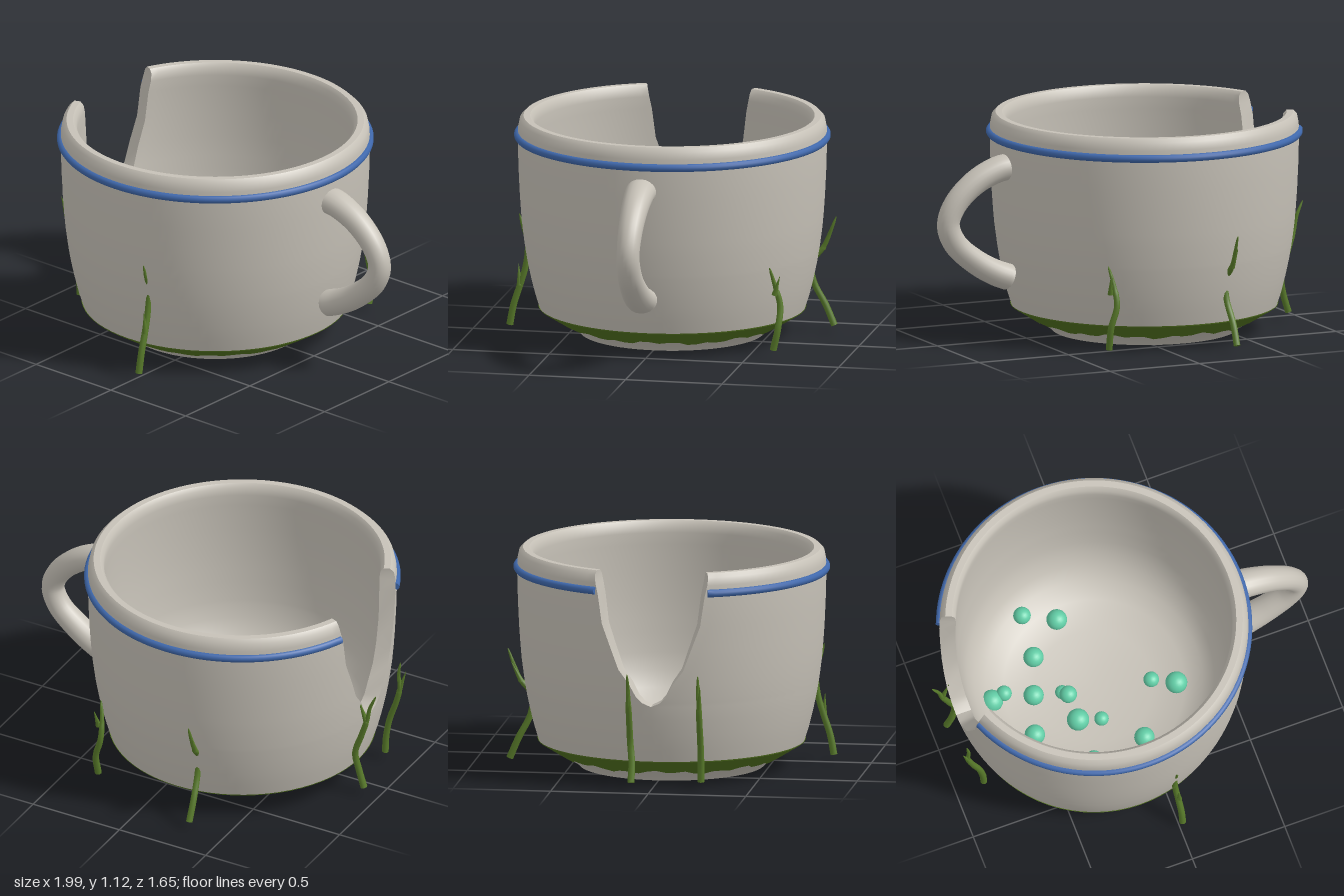
import * as THREE from 'three';
import { mergeGeometries, toCreasedNormals } from 'three/addons/utils/BufferGeometryUtils.js';

const V = (x, y, z) => new THREE.Vector3(x, y, z);
const CX = -0.16; // axis of the cup
const polar = (r, y, a) => V(CX + r * Math.sin(a), y, r * Math.cos(a));

// Grid surface: fn(row, col) gives a point; the front faces (col direction x row direction)
function grid(rows, cols, fn) {
  const pos = [], idx = [];
  for (let j = 0; j <= rows; j++)
    for (let i = 0; i <= cols; i++) pos.push(...fn(j, i).toArray());
  for (let j = 0; j < rows; j++)
    for (let i = 0; i < cols; i++) {
      const a = j * (cols + 1) + i, c = a + cols + 1;
      idx.push(a, a + 1, c + 1, a, c + 1, c);
    }
  const g = new THREE.BufferGeometry();
  g.setAttribute('position', new THREE.Float32BufferAttribute(pos, 3));
  g.setIndex(idx);
  return g;
}

// Capped tube along a smooth path; radius(t) may vary, widen(t) stretches it in z
function tube(points, radius, steps, sides, widen = () => 1) {
  const curve = new THREE.CatmullRomCurve3(points);
  const { normals, binormals } = curve.computeFrenetFrames(steps);
  const g = grid(steps + 2, sides, (j, i) => {
    const k = Math.min(Math.max(j - 1, 0), steps), t = k / steps;
    const r = j === 0 || j === steps + 2 ? 0 : radius(t);
    const a = (i % sides) / sides * Math.PI * 2;
    const p = curve.getPointAt(t)
      .addScaledVector(normals[k], r * Math.cos(a))
      .addScaledVector(binormals[k], r * Math.sin(a));
    p.z *= widen(t);
    return p;
  });
  return toCreasedNormals(g, 0.9);
}

// Wall rows that carry the broken gap: height, outer radius, inner radius, half gap in degrees
const WALL = [
  [0.43, 0.746, 0.665, 0], [0.45, 0.749, 0.668, 3.5], [0.48, 0.753, 0.674, 5.8],
  [0.55, 0.762, 0.682, 8.6], [0.62, 0.768, 0.69, 12.5], [0.72, 0.775, 0.698, 15.2],
  [0.85, 0.781, 0.702, 18.8], [1.0, 0.785, 0.702, 20.4], [1.06, 0.783, 0.7, 21.5],
  [1.1, 0.775, 0.705, 22], [1.12, 0.755, 0.722, 22],
];
const FOOT = [[0, 0], [0, 0.47], [0.018, 0.488], [0.05, 0.54], [0.13, 0.675], [0.2, 0.697], [0.28, 0.717], [0.36, 0.734]];
const FLOOR = [[0.36, 0.645], [0.28, 0.61], [0.21, 0.55], [0.16, 0.46], [0.13, 0.3], [0.12, 0]];

function cupGeometry() {
  const profile = [
    ...FOOT.map(([y, r]) => [y, r, 0]),
    ...WALL.map(([y, ro, , g]) => [y, ro, g]),
    ...[...WALL].reverse().map(([y, , ri, g]) => [y, ri, g]),
    ...FLOOR.map(([y, r]) => [y, r, 0]),
  ];
  const N = 96, rad = Math.PI / 180;
  const shell = grid(profile.length - 1, N, (j, i) => {
    const [y, r, g] = profile[j];
    const t = g * rad + (2 * Math.PI - 2 * g * rad) * i / N;
    return polar(r, y, -Math.PI / 2 + t);
  });
  // broken faces on both sides of the gap
  const edge = s => grid(WALL.length - 1, 1, (j, i) => {
    const [y, ro, ri, g] = WALL[j];
    const outer = s > 0 ? i === 1 : i === 0;
    return polar(outer ? ro : ri, y, -Math.PI / 2 + s * g * rad);
  });
  return toCreasedNormals(mergeGeometries([shell, edge(1), edge(-1)]), 0.6);
}

// Band on the sloping foot with a ragged lower edge
function mossGeometry() {
  const N = 72;
  const coneRadius = y => 0.54 + (y - 0.05) * (0.135 / 0.08);
  const g = grid(2, N, (j, i) => {
    const k = i % N;
    const low = 0.06 + 0.009 * Math.sin(k * 1.9) + 0.007 * Math.sin(k * 0.7 + 1);
    const y = [low, 0.13, 0.136][j];
    const r = [coneRadius(low), 0.675, 0.677][j] + 0.004;
    return polar(r, y - (j === 0 ? 0.003 : 0), k / N * Math.PI * 2);
  });
  return toCreasedNormals(g, 0.6);
}

export function createModel() {
  const model = new THREE.Group();
  model.name = 'brokenCup';
  const material = (name, color) => {
    const m = new THREE.MeshStandardMaterial({ color });
    m.name = name;
    return m;
  };
  const clay = material('warmGrey', 0xc6c1b7);
  const blue = material('blue', 0x3f68ac);
  const moss = material('mossGreen', 0x51701f);
  const stem = material('stemGreen', 0x587a2a);
  const mint = material('mint', 0x62cda6);
  const add = (name, geometry, mat, parent = model) => {
    const m = new THREE.Mesh(geometry, mat);
    m.name = name;
    parent.add(m);
    return m;
  };

  add('cupBody', cupGeometry(), clay);
  add('mossBand', mossGeometry(), moss).material.side = THREE.DoubleSide;

  // Handle, wider where it meets the wall
  add('handle', tube(
    [V(0.58, 0.895, 0), V(0.66, 0.885, 0), V(0.79, 0.825, 0), V(0.9, 0.72, 0), V(0.938, 0.62, 0),
      V(0.9, 0.52, 0), V(0.79, 0.42, 0), V(0.68, 0.355, 0), V(0.605, 0.325, 0)],
    t => 0.058 + 0.01 * Math.abs(2 * t - 1), 48, 20,
    t => 1 + 0.2 * Math.abs(2 * t - 1) ** 1.5), clay);

  // Blue stripe, open at the gap
  const arc = [];
  for (let i = 0; i <= 60; i++) {
    const gap = 0.375;
    arc.push(polar(0.784, 1.02, -Math.PI / 2 + gap + (2 * Math.PI - 2 * gap) * i / 60));
  }
  add('rimStripe', tube(arc, () => 0.02, 120, 10), blue);

  // Vines weaving in and out of the wall
  const vines = [
    [[0.02, 0.035, 0.805], [0.02, 0.14, 0.785], [0.015, 0.25, 0.75], [0.01, 0.34, 0.725],
      [0.01, 0.46, 0.715], [0.01, 0.55, 0.742], [0.01, 0.61, 0.757]],
    [[-0.3, 0.035, -0.81], [-0.3, 0.14, -0.765], [-0.29, 0.26, -0.705], [-0.29, 0.36, -0.695],
      [-0.3, 0.44, -0.755], [-0.3, 0.52, -0.79], [-0.3, 0.6, -0.82]],
    [[0.33, 0.035, -0.625], [0.33, 0.15, -0.65], [0.3, 0.26, -0.655], [0.305, 0.36, -0.63],
      [0.325, 0.46, -0.605]],
    [[-0.92, 0.04, -0.1], [-0.89, 0.14, -0.1], [-0.875, 0.24, -0.11], [-0.91, 0.35, -0.11],
      [-0.945, 0.46, -0.11], [-0.96, 0.53, -0.11], [-0.995, 0.61, -0.11]],
    [[-0.85, 0.04, 0.25], [-0.855, 0.13, 0.25], [-0.875, 0.24, 0.25], [-0.915, 0.36, 0.25],
      [-0.935, 0.45, 0.25], [-0.93, 0.52, 0.245], [-0.94, 0.6, 0.245]],
  ];
  vines.forEach((pts, i) => add('vine' + (i + 1), tube(
    pts.map(p => V(...p)),
    t => t < 0.7 ? 0.018 - 0.004 * t : 0.002 + 0.02 * Math.sqrt(1 - t), 28, 8), stem));

  // Small pointed leaves: foot and tip
  const leaves = [
    [[0.325, 0.32, -0.63], [0.335, 0.42, -0.66]], [[0.02, 0.24, 0.755], [0.015, 0.35, 0.76]],
    [[-0.94, 0.44, -0.11], [-0.9, 0.57, -0.12]], [[-0.93, 0.42, 0.25], [-0.965, 0.55, 0.26]],
    [[-0.3, 0.43, -0.75], [-0.31, 0.53, -0.8]],
  ];
  leaves.forEach(([a, b], i) => add('leaf' + (i + 1), tube(
    [V(...a), V(...a).lerp(V(...b), 0.5), V(...b)],
    t => 0.001 + 0.014 * (1 - t), 6, 8), stem));

  // Bubbles near the floor: x, z, radius, height
  const bubbles = [
    [-0.38, -0.455, 0.045, 0.23], [-0.22, -0.38, 0.053, 0.21], [-0.4, -0.235, 0.052, 0.2],
    [-0.61, -0.1, 0.04, 0.21], [-0.68, -0.09, 0.058, 0.19], [-0.47, -0.045, 0.052, 0.19],
    [-0.325, -0.02, 0.036, 0.16], [-0.305, 0.015, 0.045, 0.2], [-0.54, 0.16, 0.052, 0.2],
    [-0.305, 0.157, 0.057, 0.19], [-0.19, 0.19, 0.037, 0.18], [0.12, 0.08, 0.04, 0.18],
    [0.23, 0.15, 0.056, 0.21], [-0.305, 0.39, 0.043, 0.21], [-0.025, 0.37, 0.052, 0.21],
    [-0.14, 0.525, 0.037, 0.19],
  ];
  const bubbleGroup = new THREE.Group();
  bubbleGroup.name = 'bubbles';
  model.add(bubbleGroup);
  for (const [x, z, r, y] of bubbles)
    add('bubble', new THREE.SphereGeometry(r, 20, 14), mint, bubbleGroup).position.set(x, y, z);

  return model;
}
